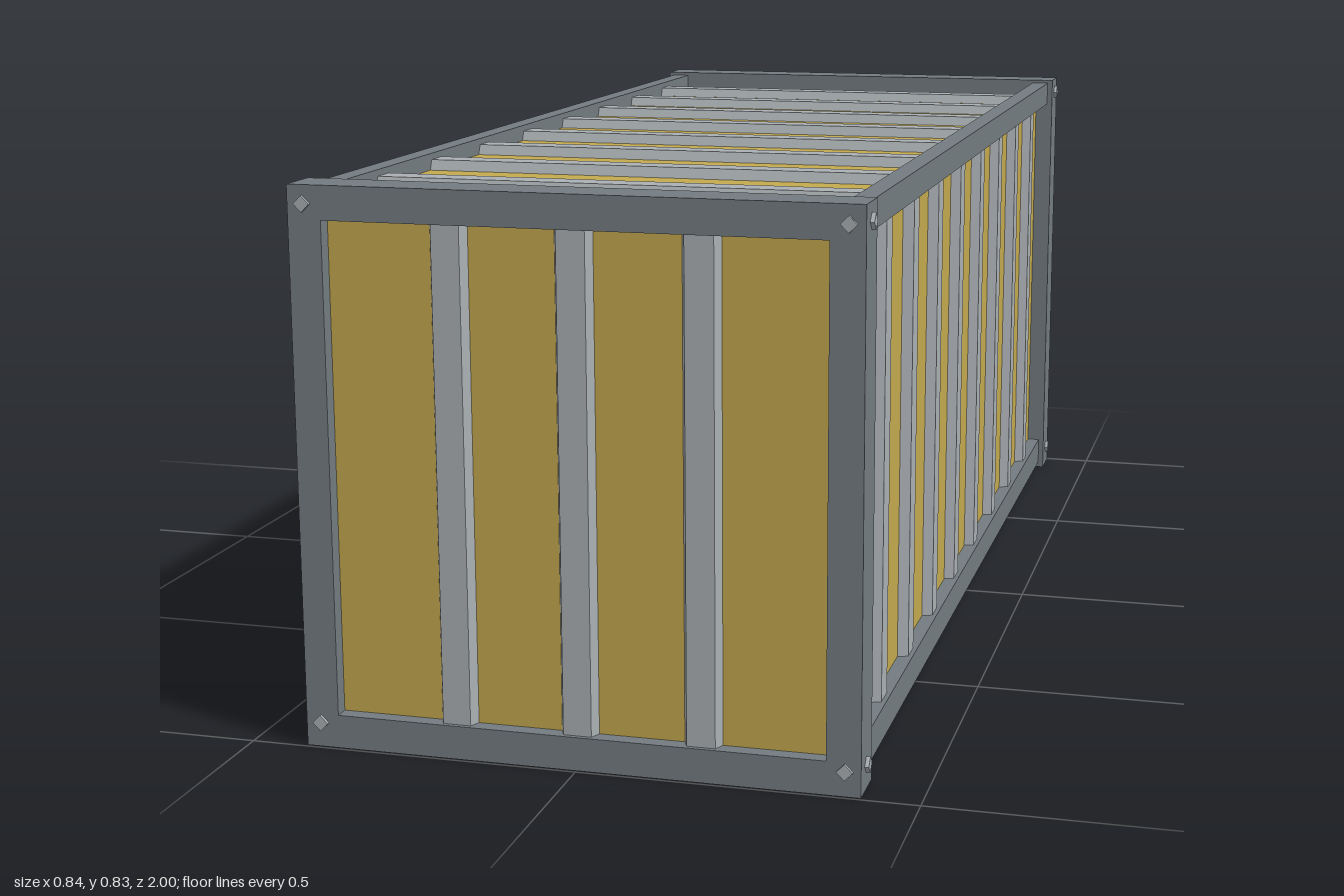
import * as THREE from 'three';

const yellow = new THREE.MeshStandardMaterial({ color: 0xc4a94e });
yellow.name = 'yellow paint';
const steel = new THREE.MeshStandardMaterial({ color: 0x747c81 });
steel.name = 'frame steel';
const pale = new THREE.MeshStandardMaterial({ color: 0xaab0b4 });
pale.name = 'pale steel';

const X = new THREE.Vector3(1, 0, 0), Y = new THREE.Vector3(0, 1, 0), Z = new THREE.Vector3(0, 0, 1);
const neg = (v) => v.clone().negate();

function add(parent, name, geometry, material, x = 0, y = 0, z = 0) {
  const mesh = new THREE.Mesh(geometry, material);
  mesh.name = name;
  mesh.position.set(x, y, z);
  parent.add(mesh);
  return mesh;
}

function box(parent, name, material, [w, h, d], [x, y, z]) {
  return add(parent, name, new THREE.BoxGeometry(w, h, d), material, x, y, z);
}

// Bevelled strip running along y, raised towards +z
function ribGeometry(length, height = 0.016) {
  const shape = new THREE.Shape();
  shape.moveTo(-0.028, 0);
  shape.lineTo(0.028, 0);
  shape.lineTo(0.021, height);
  shape.lineTo(-0.021, height);
  const geo = new THREE.ExtrudeGeometry(shape, { depth: length, bevelEnabled: false });
  return geo.translate(0, 0, -length / 2).rotateX(Math.PI / 2);
}

// Flat panel whose outer face lies at local z = 0, with evenly spaced ribs
function ribbedWall(name, w, h, count, spacing, axes, position) {
  const wall = new THREE.Group();
  wall.name = name;
  box(wall, name + 'Panel', yellow, [w, h, 0.01], [0, 0, -0.005]);
  const rib = ribGeometry(h);
  for (let i = 0; i < count; i++) {
    add(wall, name + 'Rib', rib, pale, (i - (count - 1) / 2) * spacing, 0, 0);
  }
  wall.quaternion.setFromRotationMatrix(new THREE.Matrix4().makeBasis(...axes));
  wall.position.set(...position);
  return wall;
}

function rectPath(Type, x0, x1, y0, y1) {
  const p = new Type();
  p.moveTo(x0, y0);
  p.lineTo(x1, y0);
  p.lineTo(x1, y1);
  p.lineTo(x0, y1);
  p.closePath();
  return p;
}

// Plate with rectangular openings
function plate(outer, holes, depth) {
  const shape = rectPath(THREE.Shape, ...outer);
  for (const h of holes) shape.holes.push(rectPath(THREE.Path, ...h));
  return new THREE.ExtrudeGeometry(shape, { depth, bevelEnabled: false });
}

// One door leaf; side is +1 or -1
function door(side) {
  const leaf = new THREE.Group();
  leaf.name = side > 0 ? 'leftDoor' : 'rightDoor';
  const span = (a, b) => (side > 0 ? [a, b] : [-b, -a]);
  const slots = [0.24, 0.42, 0.6].map((y) => [...span(0.075, 0.275), y - 0.013, y + 0.013]);
  add(leaf, 'doorRim', plate([...span(0.01, 0.367), 0.048, 0.782],
    [[...span(0.045, 0.325), 0.1, 0.735]], 0.015), yellow, 0, 0, -0.973);
  add(leaf, 'doorInset', plate([...span(0.01, 0.367), 0.048, 0.782], slots, 0.01), yellow, 0, 0, -0.958);
  box(leaf, 'doorHandle', steel, [0.02, 0.065, 0.016], [side * 0.027, 0.41, -0.981]);
  return leaf;
}

export function createModel() {
  const model = new THREE.Group();
  model.name = 'cargoContainer';

  // End frames: posts and cross beams
  const frame = new THREE.Group();
  frame.name = 'frame';
  model.add(frame);
  for (const sz of [-1, 1]) {
    for (const sx of [-1, 1]) {
      box(frame, 'cornerPost', steel, [0.05, 0.83, 0.072], [sx * 0.39, 0.415, sz * 0.959]);
    }
    for (const y of [0.025, 0.805]) {
      box(frame, 'endBeam', steel, [0.73, 0.05, 0.072], [0, y, sz * 0.959]);
    }
  }

  // Long side rails
  for (const sx of [-1, 1]) {
    box(frame, 'topRail', steel, [0.031, 0.043, 1.85], [sx * 0.3895, 0.8025, 0]);
    box(frame, 'bottomRail', steel, [0.031, 0.05, 1.85], [sx * 0.3895, 0.035, 0]);
  }

  // Diamond bolts on every corner, facing outwards
  const bolt = new THREE.CylinderGeometry(0.012, 0.012, 0.012, 4).toNonIndexed();
  bolt.computeVertexNormals();
  for (const sx of [-1, 1]) for (const sz of [-1, 1]) for (const y of [0.037, 0.803]) {
    add(model, 'endBolt', bolt, pale, sx * 0.392, y, sz * 0.994).rotation.x = Math.PI / 2;
    add(model, 'sideBolt', bolt, pale, sx * 0.415, y, sz * 0.96).rotation.z = Math.PI / 2;
  }

  // Ribbed walls, roof and floor
  model.add(
    ribbedWall('frontWall', 0.74, 0.74, 3, 0.183, [X, Y, Z], [0, 0.415, 0.972]),
    ribbedWall('rightWall', 1.86, 0.73, 8, 0.2135, [neg(Z), Y, X], [0.382, 0.42, 0]),
    ribbedWall('leftWall', 1.86, 0.73, 8, 0.2135, [Z, Y, neg(X)], [-0.382, 0.42, 0]),
    ribbedWall('roof', 1.86, 0.75, 8, 0.2135, [Z, X, Y], [0, 0.798, 0]),
    ribbedWall('floor', 1.86, 0.75, 8, 0.2135, [Z, neg(X), neg(Y)], [0, 0.036, 0]),
  );

  // Double doors at the back with a backing sheet behind the gap and slots
  const doors = new THREE.Group();
  doors.name = 'doors';
  doors.add(door(1), door(-1));
  box(doors, 'doorBacking', yellow, [0.74, 0.74, 0.01], [0, 0.415, -0.943]);
  model.add(doors);

  return model;
}
